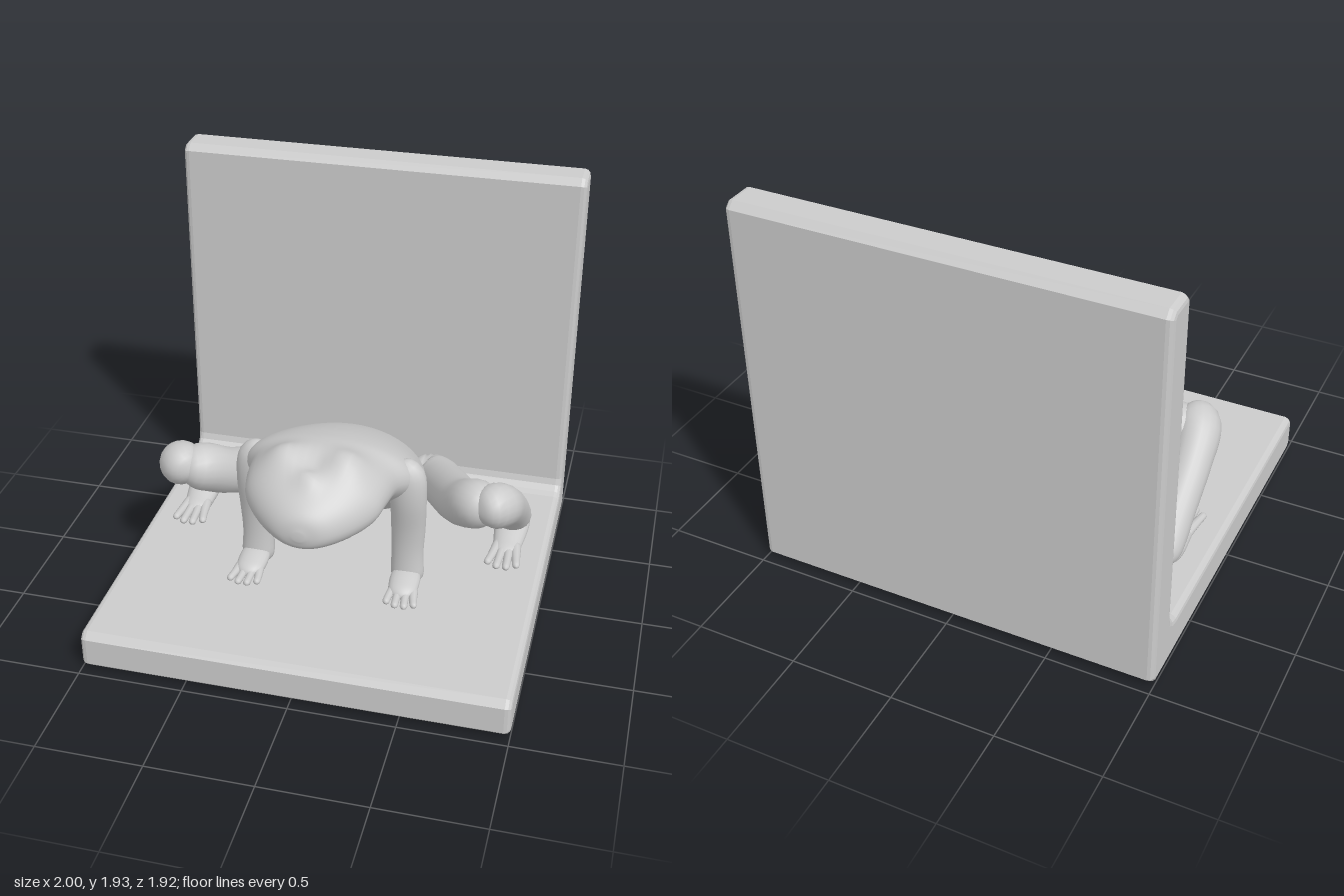
import * as THREE from 'three';

const material = new THREE.MeshStandardMaterial({ color: 0xcccccc });
const V = (x, y, z) => new THREE.Vector3(x, y, z);

// Skin a list of rings (counter-clockwise about the travel direction) and close both ends
function loft(rings) {
  const n = rings[0].length, pos = [], idx = [];
  rings.forEach(r => r.forEach(p => pos.push(p.x, p.y, p.z)));
  for (let i = 0; i < rings.length - 1; i++) {
    for (let j = 0; j < n; j++) {
      const a = i * n + j, b = i * n + (j + 1) % n;
      idx.push(a, b, a + n, b, b + n, a + n);
    }
  }
  [0, rings.length - 1].forEach(e => {
    const c = rings[e].reduce((s, p) => s.add(p), V(0, 0, 0)).divideScalar(n);
    const k = pos.length / 3;
    pos.push(c.x, c.y, c.z);
    for (let j = 0; j < n; j++) {
      const a = e * n + j, b = e * n + (j + 1) % n;
      if (e) idx.push(k, a, b); else idx.push(k, b, a);
    }
  });
  const g = new THREE.BufferGeometry();
  g.setAttribute('position', new THREE.Float32BufferAttribute(pos, 3));
  g.setIndex(idx);
  g.computeVertexNormals();
  return g;
}

const spline = pts => new THREE.CatmullRomCurve3(pts, false, 'catmullrom', 0.5);

// Round-ended tapered tube; rows are [x, y, z, radius], squash scales the section per axis
function limb(rows, side, squash = [1, 1, 1], steps = 32, sides = 20) {
  const path = spline(rows.map(r => V(r[0] * side, r[1], r[2])));
  const radii = spline(rows.map(r => V(r[3], 0, 0)));
  const length = path.getLength(), scale = V(...squash), rings = [];
  for (let i = 0; i <= steps; i++) {
    const u = (1 - Math.cos(Math.PI * i / steps)) / 2;
    const c = path.getPointAt(u), T = path.getTangentAt(u);
    const N = V(1, 0, 0).addScaledVector(T, -T.x).normalize();
    const B = T.clone().cross(N);
    let r = radii.getPoint(path.getUtoTmapping(u)).x;
    const d = Math.min(u, 1 - u) * length;
    if (d < r) r *= Math.sqrt(Math.max(0.0004, 1 - (1 - d / r) ** 2));
    rings.push(Array.from({ length: sides }, (_, j) => {
      const a = j / sides * Math.PI * 2;
      return N.clone().multiplyScalar(Math.cos(a) * r).addScaledVector(B, Math.sin(a) * r)
        .multiply(scale).add(c);
    }));
  }
  return loft(rings);
}

// Body and head: cross-sections [z, top, bottom, half width]
function bodyGeometry() {
  const rows = [
    [-0.722, 0.27, 0.24, 0.03], [-0.70, 0.335, 0.207, 0.13], [-0.64, 0.42, 0.2, 0.215],
    [-0.5, 0.565, 0.2, 0.295], [-0.3, 0.73, 0.25, 0.36], [-0.1, 0.85, 0.36, 0.4],
    [0.08, 0.935, 0.5, 0.42], [0.22, 0.985, 0.61, 0.405], [0.32, 1.01, 0.655, 0.35],
    [0.45, 1.025, 0.668, 0.33], [0.55, 1.0, 0.66, 0.305], [0.64, 0.95, 0.668, 0.24],
    [0.71, 0.9, 0.685, 0.165], [0.75, 0.855, 0.71, 0.1], [0.768, 0.8, 0.755, 0.025]];
  const heights = spline(rows.map(r => V(r[0], r[1], r[2])));
  const widths = spline(rows.map(r => V(r[3], 0, 0)));
  const steps = 84, sides = 48, rings = [];
  for (let i = 0; i <= steps; i++) {
    const { x: z, y: top, z: bottom } = heights.getPoint(i / steps);
    const w = widths.getPoint(i / steps).x;
    const mid = bottom + (top - bottom) * 0.45;
    rings.push(Array.from({ length: sides }, (_, j) => {
      const a = j / sides * Math.PI * 2, s = Math.sin(a);
      const x = Math.cos(a) * w;
      let y = mid + s * (s > 0 ? top - mid : mid - bottom);
      // Eye bumps with a hollow between them, and a low nose ridge
      if (s > 0) {
        const near = (cx, cz, r) => Math.exp(-((x - cx) ** 2 + (z - cz) ** 2) / (r * r));
        y += s * (0.045 * (near(0.16, 0.47, 0.09) + near(-0.16, 0.47, 0.09))
          - 0.035 * near(0, 0.5, 0.08) + 0.03 * near(0, 0.6, 0.05));
      }
      return V(x, y, z);
    }));
  }
  return loft(rings);
}

// L-shaped stand: chamfered profile extruded across x
function standGeometry() {
  const i = 0.03, c = 0.015, f = 0.93, b = 0.17, w = 0.80, t = 1.90;
  const zy = [
    [f - c, i], [f, i + c], [f, b - c], [f - c, b], [-0.70, b], [-0.745, b + 0.012],
    [-0.785, b + 0.045], [-w, b + 0.09], [-w, t - c], [-w - c, t], [-f + c, t], [-f, t - c],
    [-f, i + c], [-f + c, i]];
  const shape = new THREE.Shape(zy.map(([z, y]) => new THREE.Vector2(-z, y)));
  const g = new THREE.ExtrudeGeometry(shape, {
    depth: 1.94, bevelEnabled: true, bevelSize: 0.03, bevelThickness: 0.03, bevelSegments: 3 });
  return g.translate(0, 0, -0.97).rotateY(Math.PI / 2);
}

export function createModel() {
  const model = new THREE.Group();
  model.name = 'frogBookend';
  const add = (name, geometry, parent = model) => {
    const mesh = new THREE.Mesh(geometry, material);
    mesh.name = name;
    parent.add(mesh);
  };

  add('stand', standGeometry());
  add('body', bodyGeometry());

  for (const side of [1, -1]) {
    const label = side > 0 ? 'left' : 'right';

    // Front leg with hand and fingers
    const front = new THREE.Group();
    front.name = label + 'FrontLeg';
    model.add(front);
    add('arm', limb([
      [0.30, 0.85, 0.18, 0.08], [0.355, 0.79, 0.19, 0.095], [0.372, 0.68, 0.195, 0.088],
      [0.372, 0.5, 0.172, 0.083], [0.37, 0.35, 0.168, 0.078], [0.375, 0.17, 0.175, 0.085]],
    side, [1, 1, 0.72]), front);
    add('hand', limb([[0.375, 0.25, 0.15, 0.06], [0.375, 0.235, 0.24, 0.07], [0.38, 0.21, 0.36, 0.062]],
      side, [1.05, 0.55, 1]), front);
    for (let k = 0; k < 4; k++) {
      const s = (k - 1.5) / 1.5;
      add('finger', limb([
        [0.38 + s * 0.045, 0.222, 0.28, 0.026], [0.38 + s * 0.06, 0.215, 0.36, 0.019],
        [0.385 + s * 0.068, 0.21, 0.44 - Math.abs(s) * 0.03, 0.018]],
      side, [1, 0.9, 1], 14, 10), front);
    }

    // Hind leg with folded thigh and shin, foot and toes
    const hind = new THREE.Group();
    hind.name = label + 'HindLeg';
    model.add(hind);
    add('thigh', limb([
      [0.22, 0.32, -0.61, 0.09], [0.36, 0.31, -0.58, 0.11], [0.46, 0.375, -0.38, 0.118],
      [0.58, 0.51, -0.08, 0.115], [0.67, 0.61, 0.07, 0.118], [0.77, 0.645, 0.15, 0.105]], side), hind);
    add('shin', limb([
      [0.69, 0.645, 0.18, 0.1], [0.775, 0.635, 0.10, 0.108], [0.802, 0.54, -0.05, 0.096],
      [0.805, 0.4, -0.23, 0.092], [0.805, 0.29, -0.36, 0.09], [0.805, 0.235, -0.46, 0.075]], side), hind);
    add('foot', limb([
      [0.805, 0.255, -0.45, 0.08], [0.805, 0.24, -0.32, 0.085], [0.803, 0.215, -0.18, 0.07],
      [0.8, 0.21, -0.09, 0.06]], side, [1, 0.6, 1]), hind);
    for (let k = 0; k < 4; k++) {
      const s = (k - 1.5) / 1.5;
      add('toe', limb([
        [0.803 + s * 0.04, 0.222, -0.2, 0.03], [0.802 + s * 0.06, 0.22, -0.08, 0.021],
        [0.8 + s * 0.073, 0.217, 0.03 - Math.abs(s) * 0.04, 0.019]],
      side, [1, 0.9, 1], 14, 10), hind);
    }
  }
  return model;
}
